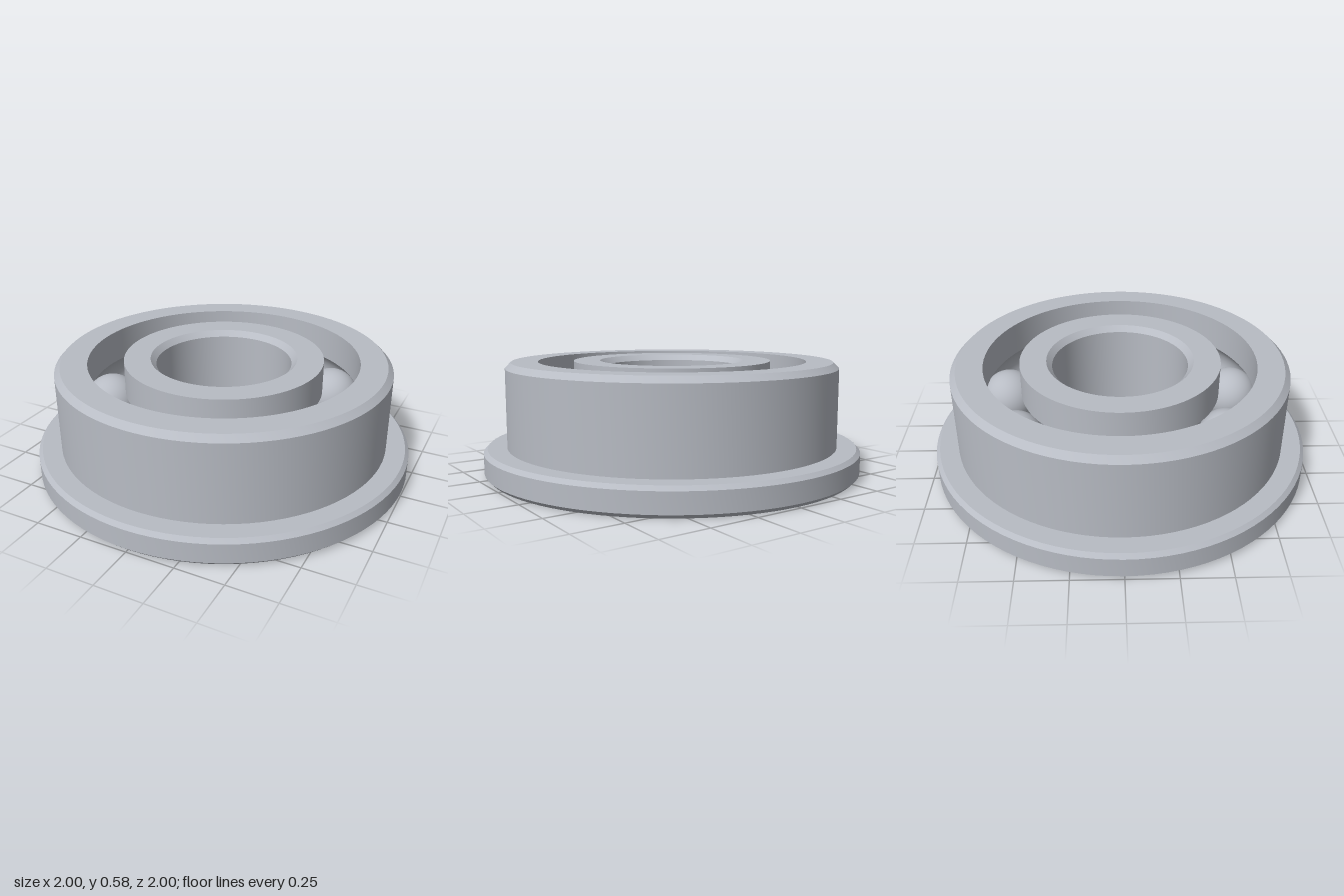
import * as THREE from 'three';
import { toCreasedNormals } from 'three/addons/utils/BufferGeometryUtils.js';

const HEIGHT = 0.585, MID = HEIGHT / 2;
const PITCH = 0.617, BALL_R = 0.147, BALLS = 9;
const GROOVE_R = 0.15;

// Points of a ball groove cut into a wall of the given radius, between its two rims
function groove(wallRadius, upward) {
  const side = Math.sign(wallRadius - PITCH);
  const half = Math.acos(Math.abs(wallRadius - PITCH) / GROOVE_R);
  const points = [];
  for (let i = 0; i <= 12; i++) {
    const a = (upward ? 1 : -1) * half * (i / 6 - 1);
    points.push([PITCH + side * GROOVE_R * Math.cos(a), MID + GROOVE_R * Math.sin(a)]);
  }
  return points;
}

// Closed anticlockwise profile spun about y, with crisp edges
function ring(profile, material, name) {
  const points = [...profile, profile[0]].map(([r, y]) => new THREE.Vector2(r, y));
  const mesh = new THREE.Mesh(toCreasedNormals(new THREE.LatheGeometry(points, 96), 0.5), material);
  mesh.name = name;
  return mesh;
}

export function createModel() {
  const model = new THREE.Group();
  model.name = 'flangedBallBearing';
  const steel = new THREE.MeshStandardMaterial({ color: 0xb8bcc4 });
  steel.name = 'steel';

  // Outer ring with chamfered flange and ball groove inside
  model.add(ring([
    [0.711, 0], [0.98, 0], [1, 0.02], [1, 0.122], [0.98, 0.142], [0.88, 0.142],
    [0.88, HEIGHT - 0.03], [0.85, HEIGHT], [0.711, HEIGHT],
    ...groove(0.711, false),
  ], steel, 'outerRing'));

  // Inner ring with chamfered bore and ball groove outside
  model.add(ring([
    [0.385, 0], [0.524, 0],
    ...groove(0.524, true),
    [0.524, HEIGHT], [0.385, HEIGHT], [0.356, HEIGHT - 0.03], [0.356, 0.03],
  ], steel, 'innerRing'));

  // Balls evenly spaced around the race
  const balls = new THREE.Group();
  balls.name = 'balls';
  const ballGeometry = new THREE.SphereGeometry(BALL_R, 40, 24);
  for (let i = 0; i < BALLS; i++) {
    const a = (i / BALLS) * Math.PI * 2;
    const ball = new THREE.Mesh(ballGeometry, steel);
    ball.name = 'ball';
    ball.position.set(PITCH * Math.cos(a), MID, PITCH * Math.sin(a));
    balls.add(ball);
  }
  model.add(balls);
  return model;
}
